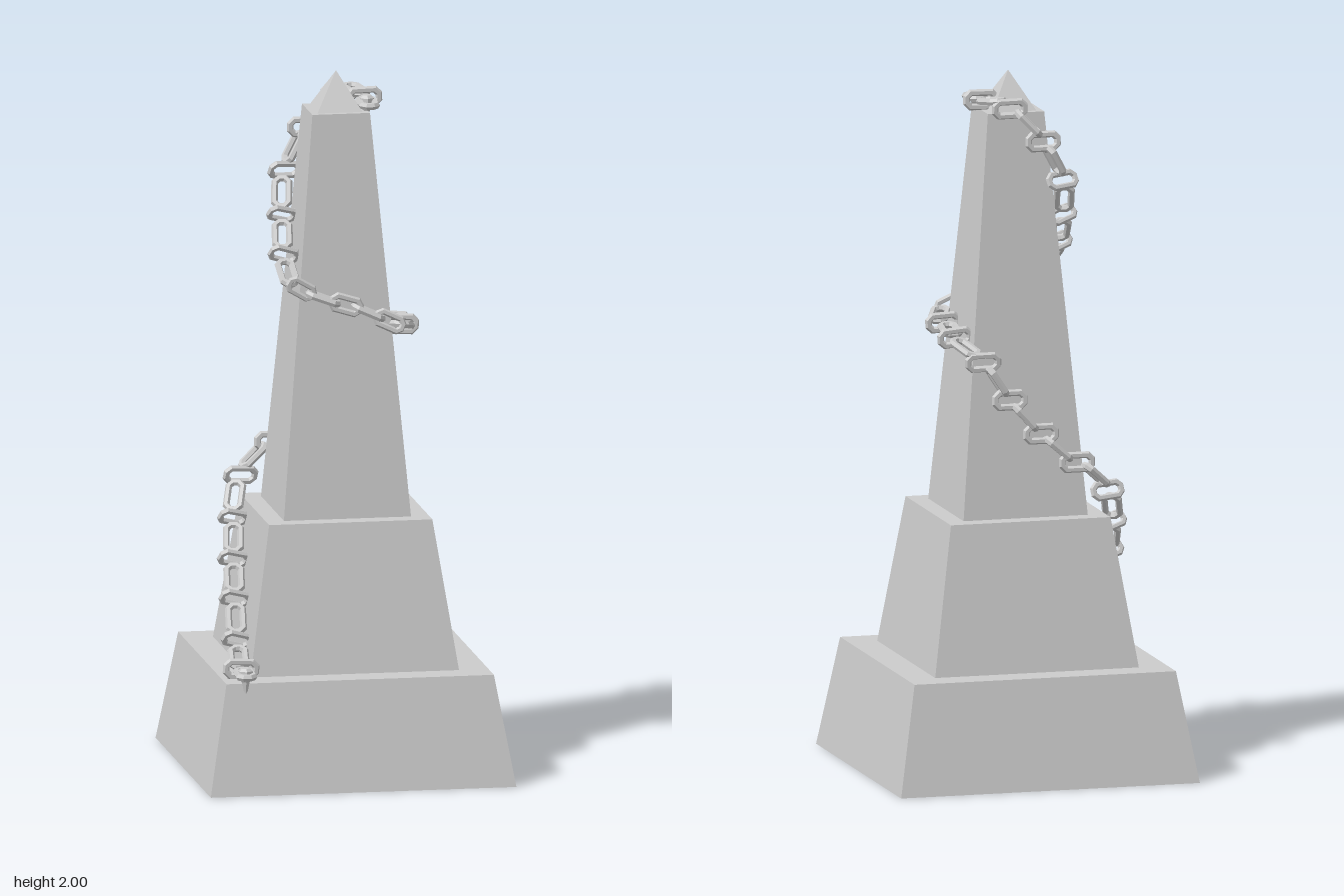
import * as THREE from 'three';

const material = new THREE.MeshStandardMaterial({ color: 0xcccccc, flatShading: true, side: THREE.DoubleSide });

function addMesh(parent, name, geometry) {
  const mesh = new THREE.Mesh(geometry, material);
  mesh.name = name;
  parent.add(mesh);
  return mesh;
}

// Square, tapering shell from [half width, height] pairs
function squareShell(profile) {
  const points = profile.map(([half, y]) => new THREE.Vector2(half * Math.SQRT2, y));
  return new THREE.LatheGeometry(points, 4, Math.PI / 4).toNonIndexed();
}

// Oval octagonal link: a coarse torus pulled apart along x
function linkGeometry(radius, wire, stretch) {
  const geometry = new THREE.TorusGeometry(radius, wire, 6, 8);
  geometry.rotateZ(Math.PI / 8);
  const p = geometry.attributes.position;
  for (let i = 0; i < p.count; i++) p.setX(i, p.getX(i) + Math.sign(p.getX(i)) * stretch);
  return geometry;
}

export function createModel() {
  const model = new THREE.Group();
  model.name = 'chainedObelisk';

  // Stepped hollow monument, open underneath
  addMesh(model, 'baseTier', squareShell([[0.44, 0], [0.385, 0.315], [0.3, 0.315]]));
  addMesh(model, 'middleTier', squareShell([[0.3, 0.315], [0.235, 0.74], [0.183, 0.74]]));
  addMesh(model, 'shaft', squareShell([[0.183, 0.74], [0.083, 1.89], [0.065, 1.89]]));
  addMesh(model, 'capstone', squareShell([[0.065, 1.89], [0, 2]]));

  // Chain path winding down around the shaft
  const path = new THREE.CatmullRomCurve3([
    [0.08, 1.915, 0.06], [0.08, 1.92, -0.03], [0.055, 1.925, -0.105],
    [-0.02, 1.87, -0.132], [-0.08, 1.79, -0.132], [-0.13, 1.69, -0.11],
    [-0.15, 1.57, -0.03], [-0.16, 1.48, 0.06], [-0.15, 1.42, 0.135],
    [-0.08, 1.38, 0.162], [0.03, 1.345, 0.165], [0.13, 1.3, 0.16],
    [0.172, 1.28, 0.11], [0.175, 1.265, 0], [0.175, 1.24, -0.13],
    [0.13, 1.2, -0.185], [0.03, 1.06, -0.19], [-0.1, 0.93, -0.192],
    [-0.21, 0.85, -0.19], [-0.26, 0.775, -0.15], [-0.288, 0.64, -0.04],
    [-0.31, 0.49, 0.11], [-0.322, 0.375, 0.22], [-0.328, 0.345, 0.29], [-0.33, 0.34, 0.375],
  ].map((p) => new THREE.Vector3(...p)));

  // Links alternate by a quarter turn about the path
  const chain = new THREE.Group();
  chain.name = 'chain';
  model.add(chain);
  const geometry = linkGeometry(0.022, 0.0105, 0.0225);
  const half = Math.round(path.getLength() / 0.067 / 2);
  const last = half * 2;
  for (let i = 0; i <= last; i++) {
    const position = path.getPointAt(i / last);
    const along = path.getTangentAt(i / last);
    const up = new THREE.Vector3(0, 1, 0);
    const across = new THREE.Vector3().crossVectors(up, along).normalize();
    up.crossVectors(along, across);
    const link = addMesh(chain, 'chainLink', geometry);
    const basis = new THREE.Matrix4();
    if (i % 2 === 0) basis.makeBasis(along, across, up.clone().negate());
    else basis.makeBasis(along, up, across);
    link.quaternion.setFromRotationMatrix(basis.scale(new THREE.Vector3(1, 1, 1)));
    if (i % 2 === 0) {
      // Flat links: oval lies in the plane of along and across
      const normal = new THREE.Vector3().crossVectors(along, across);
      link.quaternion.setFromRotationMatrix(new THREE.Matrix4().makeBasis(along, across, normal));
    }
    link.position.copy(position);
  }

  // Spikes pinning both ends of the chain
  const spike = (x, y, z, tip) => {
    const points = [[0, -tip], [0.012, 0], [0.022, 0.015], [0.022, 0.032], [0.014, 0.04], [0, 0.04]];
    const mesh = addMesh(model, 'chainPin',
      new THREE.LatheGeometry(points.map(([r, h]) => new THREE.Vector2(r, h)), 6));
    mesh.position.set(x, y, z);
  };
  spike(0.08, 1.895, 0.045, 0.03);
  spike(-0.33, 0.32, 0.385, 0.06);

  return model;
}
